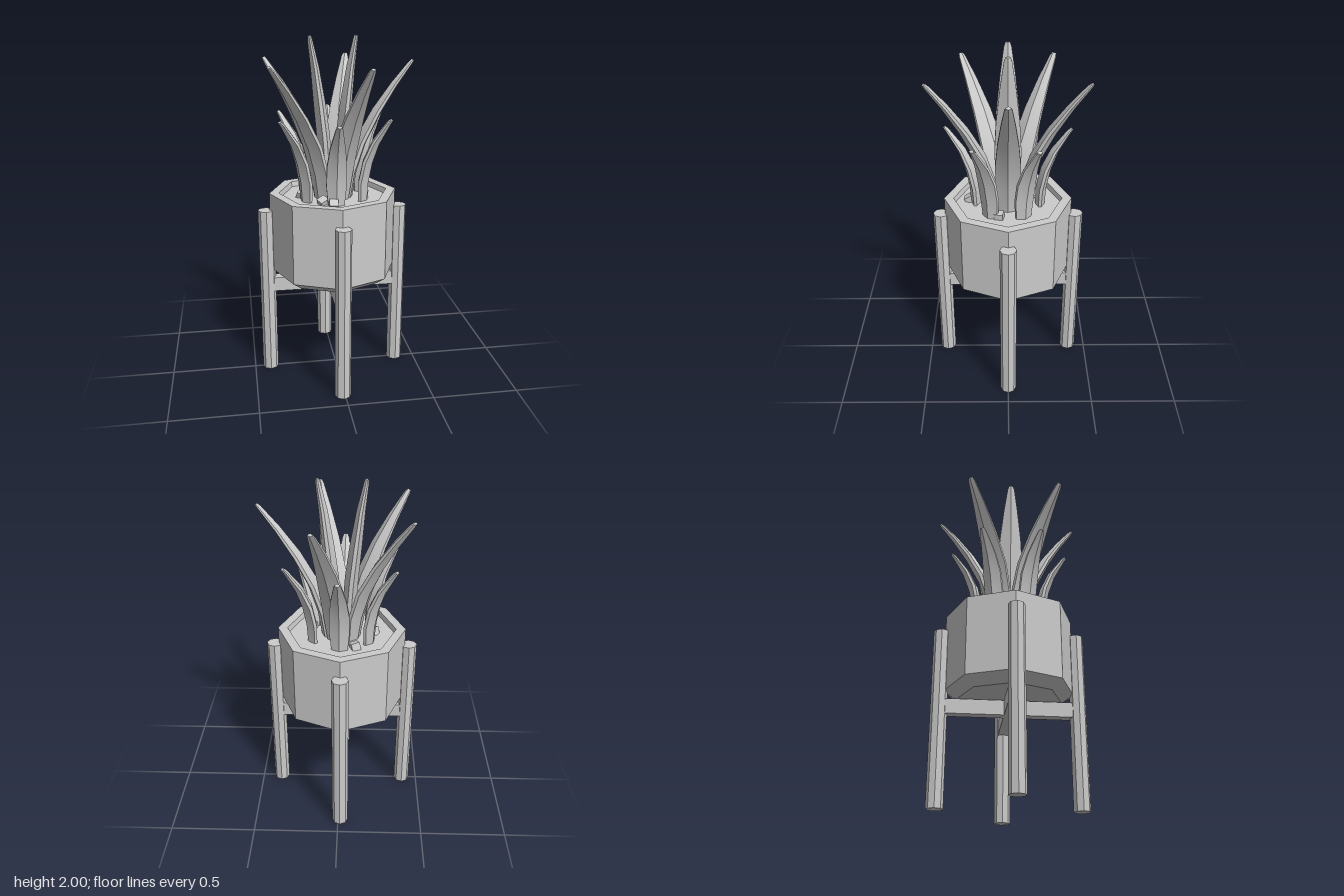
import * as THREE from 'three';
import { toCreasedNormals } from 'three/addons/utils/BufferGeometryUtils.js';

const CX = -0.013; // axis of stand and pot
const flat = new THREE.MeshStandardMaterial({ color: 0xcccccc, flatShading: true });
const smooth = new THREE.MeshStandardMaterial({ color: 0xcccccc });

function add(parent, name, geometry, x = 0, y = 0, z = 0, material = flat) {
  const mesh = new THREE.Mesh(geometry, material);
  mesh.name = name;
  mesh.position.set(x, y, z);
  parent.add(mesh);
  return mesh;
}

// Blade leaf leaning towards +x; rows are [radius, height, half width, half thickness]
function leafGeometry(rows) {
  const section = [[1, 0.3], [0, 1], [-1, 0.3], [-1, -0.3], [0, -1], [1, -0.3]];
  const n = section.length;
  const positions = [];
  const index = [];
  rows.forEach(([r, y, w, t], i) => {
    const a = rows[Math.max(i - 1, 0)];
    const b = rows[Math.min(i + 1, rows.length - 1)];
    const dir = new THREE.Vector2(b[0] - a[0], b[1] - a[1]).normalize();
    for (const [sw, st] of section) {
      positions.push(r + dir.y * st * t, y - dir.x * st * t, sw * w);
    }
  });
  for (let i = 0; i < rows.length - 1; i++) {
    for (let j = 0; j < n; j++) {
      const a = i * n + j;
      const b = i * n + (j + 1) % n;
      index.push(a, b, a + n, b, b + n, a + n);
    }
  }
  // End caps
  const top = (rows.length - 1) * n;
  for (let j = 1; j < n - 1; j++) {
    index.push(0, j + 1, j, top, top + j, top + j + 1);
  }
  const geometry = new THREE.BufferGeometry();
  geometry.setAttribute('position', new THREE.Float32BufferAttribute(positions, 3));
  geometry.setIndex(index);
  // Smooth along the blade, sharp at the midrib and edges
  return toCreasedNormals(geometry, 0.5);
}

// Ring of equal leaves around the axis
function leafRing(parent, name, count, startDegrees, rows) {
  const geometry = leafGeometry(rows);
  for (let i = 0; i < count; i++) {
    const leaf = add(parent, name, geometry, 0, 0, 0, smooth);
    leaf.rotation.y = -THREE.MathUtils.degToRad(startDegrees + i * 360 / count);
  }
}

export function createModel() {
  const model = new THREE.Group();
  model.name = 'pottedPlantOnStand';

  // Stand: four octagonal legs and a crossed support
  const stand = new THREE.Group();
  stand.name = 'stand';
  stand.position.x = CX;
  model.add(stand);
  const legGeometry = new THREE.CylinderGeometry(0.047, 0.047, 1.02, 8);
  for (let i = 0; i < 4; i++) {
    const a = i * Math.PI / 2;
    add(stand, 'leg', legGeometry, 0.392 * Math.cos(a), 0.51, 0.392 * Math.sin(a));
  }
  add(stand, 'crossBar', new THREE.BoxGeometry(0.76, 0.085, 0.06), 0, 0.56, 0);
  add(stand, 'crossBar', new THREE.BoxGeometry(0.06, 0.085, 0.76), 0, 0.56, 0);

  // Octagonal pot with bevelled foot and recessed rim
  const potProfile = [
    [0, 0.607], [0.3, 0.607], [0.37, 0.657], [0.37, 1.12],
    [0.315, 1.12], [0.305, 1.07],
  ].map(([x, y]) => new THREE.Vector2(x, y));
  add(model, 'pot', new THREE.LatheGeometry(potProfile, 8), CX, 0, 0);
  add(model, 'soil', new THREE.CylinderGeometry(0.308, 0.308, 0.04, 8), CX, 1.07, 0);

  // Small clods half sunk in the soil
  const clodGeometry = new THREE.BoxGeometry(0.05, 0.05, 0.05);
  const clods = [[-0.09, 0.155], [-0.04, 0.22], [-0.195, 0.005], [-0.09, -0.17], [0.16, 0.05]];
  clods.forEach(([x, z], i) => {
    const clod = add(model, 'clod', clodGeometry, x, 1.1, z);
    clod.rotation.set(0.3, 0.5 + i, 0.25);
  });

  // Three tiers of leaves
  const plant = new THREE.Group();
  plant.name = 'plant';
  plant.position.x = CX;
  model.add(plant);
  leafRing(plant, 'innerLeaf', 2, 0, [
    [0.035, 1.08, 0.052, 0.032], [0.042, 1.27, 0.07, 0.038], [0.055, 1.45, 0.074, 0.038],
    [0.075, 1.63, 0.064, 0.034], [0.1, 1.83, 0.042, 0.024], [0.125, 1.975, 0.021, 0.014],
    [0.128, 1.999, 0.013, 0.01],
  ]);
  leafRing(plant, 'middleLeaf', 5, 0, [
    [0.085, 1.08, 0.052, 0.028], [0.105, 1.24, 0.068, 0.034], [0.16, 1.41, 0.07, 0.033],
    [0.25, 1.58, 0.056, 0.028], [0.35, 1.73, 0.037, 0.02], [0.438, 1.845, 0.02, 0.013],
    [0.453, 1.862, 0.013, 0.009],
  ]);
  leafRing(plant, 'outerLeaf', 6, 32.5, [
    [0.185, 1.08, 0.045, 0.027], [0.19, 1.2, 0.056, 0.03], [0.215, 1.32, 0.055, 0.029],
    [0.26, 1.43, 0.042, 0.023], [0.335, 1.545, 0.02, 0.013], [0.35, 1.562, 0.013, 0.01],
  ]);

  return model;
}
